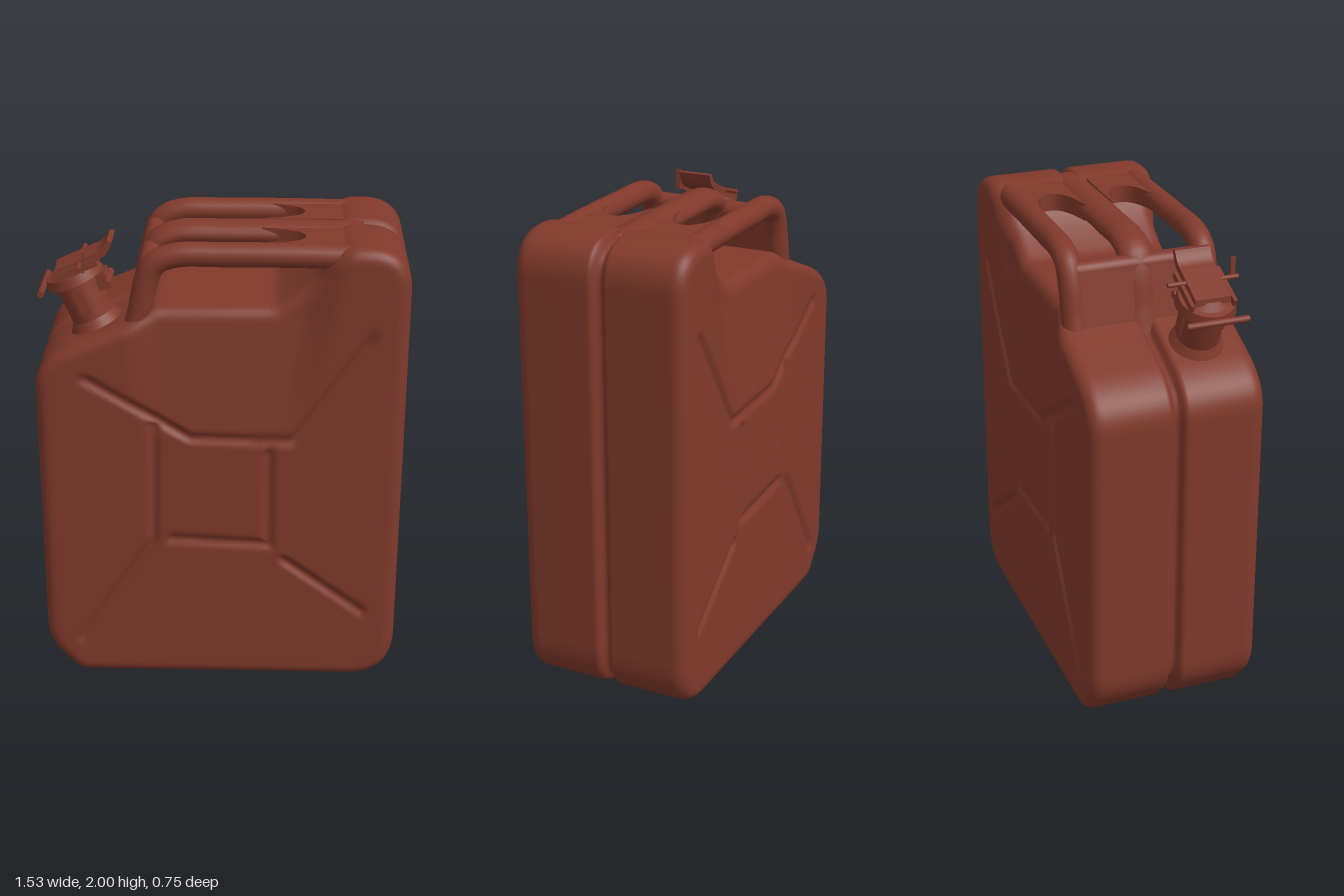
import * as THREE from 'three';
import { RoundedBoxGeometry } from 'three/addons/geometries/RoundedBoxGeometry.js';

const HALF = 0.375;      // half depth of the can
const BEVEL = 0.055;     // edge rounding
const N = 300;           // points around the outline
const ROWS = 60;         // rings on each large face
const CX = 0, CY = 0.9;  // centre of the face rings

// Pressed grooves on both large faces
const GROOVES = [
  [[-0.56, 1.43], [-0.13, 1.17], [0.3, 1.16], [0.61, 1.62]],
  [[-0.61, 0.18], [-0.29, 0.68], [-0.28, 1.22]],
  [[-0.21, 0.69], [0.2, 0.67], [0.2, 1.1]],
  [[0.27, 0.59], [0.61, 0.34]],
];

function segmentDistance(x, y, [ax, ay], [bx, by]) {
  const dx = bx - ax, dy = by - ay;
  const t = THREE.MathUtils.clamp(((x - ax) * dx + (y - ay) * dy) / (dx * dx + dy * dy), 0, 1);
  return Math.hypot(x - ax - t * dx, y - ay - t * dy);
}

// How far the face is pressed in by the grooves
function grooveDepth(x, y) {
  let d = 1;
  for (const line of GROOVES)
    for (let i = 0; i + 1 < line.length; i++) d = Math.min(d, segmentDistance(x, y, line[i], line[i + 1]));
  return 0.016 * (1 - THREE.MathUtils.smoothstep(d, 0, 0.035));
}

// The panel under the handles leans inward toward the top
function leanDepth(x, y) {
  const s = THREE.MathUtils.smoothstep;
  const right = 0.22 + 0.2 * (y - 1.2);
  return 0.045 * THREE.MathUtils.clamp((y - 1.17) / 0.53, 0, 1) * s(x, -0.4, -0.24) * (1 - s(x, right, right + 0.16));
}

function bodyOutline() {
  const s = new THREE.Shape();
  s.moveTo(-0.6, 0);
  s.lineTo(0.55, 0);
  s.quadraticCurveTo(0.76, 0, 0.76, 0.22);
  s.lineTo(0.765, 1.82);
  s.quadraticCurveTo(0.765, 2, 0.58, 2);
  s.lineTo(0.56, 2);
  s.quadraticCurveTo(0.45, 2, 0.4, 1.88);
  s.quadraticCurveTo(0.34, 1.81, 0.22, 1.735);
  s.lineTo(-0.27, 1.73);
  s.lineTo(-0.38, 1.67);
  s.lineTo(-0.62, 1.57);
  s.quadraticCurveTo(-0.77, 1.5, -0.77, 1.38);
  s.lineTo(-0.77, 0.24);
  s.quadraticCurveTo(-0.77, 0.16, -0.72, 0.1);
  s.lineTo(-0.66, 0.03);
  s.quadraticCurveTo(-0.63, 0, -0.6, 0);
  return s.getSpacedPoints(N).slice(0, N);
}

// Body: rings from the front centre, round the edges and seam, to the back centre
function bodyGeometry() {
  const pts = bodyOutline();
  const normals = pts.map((p, i) => {
    const a = pts[(i + N - 1) % N], b = pts[(i + 1) % N];
    return new THREE.Vector2(b.y - a.y, a.x - b.x).normalize();
  });
  const half = [];
  for (let i = 0; i <= ROWS; i++) half.push({ scale: i / ROWS, inset: BEVEL, z: HALF });
  for (let i = 1; i <= 6; i++) {
    const a = (i / 6) * Math.PI / 2;
    half.push({ scale: 1, inset: BEVEL * (1 - Math.sin(a)), z: HALF - BEVEL * (1 - Math.cos(a)) });
  }
  for (const [inset, z] of [[0, 0.31], [0, 0.045], [0.003, 0.032], [0.014, 0.022], [0.032, 0.015], [0.04, 0.006]])
    half.push({ scale: 1, inset, z, seam: true });
  const rings = [...half, ...half.slice().reverse().map(r => ({ ...r, z: -r.z }))];

  const position = [], index = [];
  rings.forEach((r, i) => {
    for (let j = 0; j < N; j++) {
      const p = pts[j];
      const underHandle = p.y > 1.66 && p.x > -0.36 && p.x < 0.5;
      const inset = r.seam && underHandle ? 0 : r.inset;
      const x = CX + (p.x - normals[j].x * inset - CX) * r.scale;
      const y = CY + (p.y - normals[j].y * inset - CY) * r.scale;
      let depth = Math.abs(r.z);
      if (depth > 0.3) depth -= leanDepth(x, y);
      if (Math.abs(r.z) === HALF) depth -= grooveDepth(x, y);
      position.push(x, y, Math.sign(r.z) * depth);
      if (i + 1 < rings.length) {
        const k = (j + 1) % N, a = i * N, b = a + N;
        index.push(a + j, b + j, b + k, a + j, b + k, a + k);
      }
    }
  });
  const g = new THREE.BufferGeometry();
  g.setAttribute('position', new THREE.Float32BufferAttribute(position, 3));
  g.setIndex(index);
  g.computeVertexNormals();
  return g;
}

export function createModel() {
  const model = new THREE.Group();
  model.name = 'fuelCan';
  const paint = new THREE.MeshStandardMaterial({ color: 0x80392b });
  paint.name = 'rust red paint';

  const add = (parent, name, geometry, x = 0, y = 0, z = 0, rz = 0) => {
    const m = new THREE.Mesh(geometry, paint);
    m.name = name;
    m.position.set(x, y, z);
    m.rotation.z = rz;
    parent.add(m);
    return m;
  };

  add(model, 'body', bodyGeometry());

  // Three carrying handles
  const handles = new THREE.Group();
  handles.name = 'handles';
  model.add(handles);
  const path = new THREE.CatmullRomCurve3([[-0.37, 1.58], [-0.335, 1.7], [-0.305, 1.84], [-0.27, 1.91],
    [-0.19, 1.945], [0, 1.95], [0.3, 1.95], [0.58, 1.945]].map(([x, y]) => new THREE.Vector3(x, y, 0)));
  for (const [name, z, width] of [['frontHandle', 0.288, 1.05], ['middleHandle', 0, 1.5], ['backHandle', -0.288, 1.05]]) {
    add(handles, name, new THREE.TubeGeometry(path, 60, 0.05, 20).scale(1, 1, width), 0, 0, z);
  }
  // Wall joining the handle legs
  add(handles, 'handleWall', new RoundedBoxGeometry(0.085, 0.36, 0.6, 4, 0.04), -0.325, 1.745, 0, -0.2);

  // Webs that round off the far end of each grip opening
  const web = new THREE.Shape();
  web.moveTo(0.52, -0.1);
  web.lineTo(0.52, 0.1);
  web.lineTo(0.16, 0.1);
  web.bezierCurveTo(0.28, 0.08, 0.34, 0.05, 0.34, 0);
  web.bezierCurveTo(0.34, -0.05, 0.28, -0.08, 0.16, -0.1);
  web.closePath();
  const webGeometry = new THREE.ExtrudeGeometry(web, { depth: 0.075, bevelEnabled: false, curveSegments: 12 });
  webGeometry.rotateX(Math.PI / 2);
  for (const z of [0.16, -0.16]) add(handles, 'gripWeb', webGeometry, 0, 1.988, z);

  // Tilted spout with its clamped cap
  const spout = new THREE.Group();
  spout.name = 'spout';
  spout.position.set(-0.53, 1.62, 0.165);
  spout.rotation.z = 0.4;
  model.add(spout);
  const disc = (top, bottom, h) => new THREE.CylinderGeometry(top, bottom, h, 32);
  const pin = (r, l) => new THREE.CylinderGeometry(r, r, l, 10).rotateX(Math.PI / 2);
  add(spout, 'neckFoot', disc(0.09, 0.115, 0.04), 0, 0.005, 0);
  add(spout, 'neck', disc(0.09, 0.09, 0.2), 0, 0.08, 0);
  add(spout, 'neckRim', disc(0.1, 0.1, 0.025), 0, 0.175, 0);
  add(spout, 'cap', disc(0.115, 0.125, 0.04), 0, 0.215, 0);
  add(spout, 'capTop', disc(0.07, 0.1, 0.025), 0.01, 0.247, 0);
  add(spout, 'hingeBlock', new THREE.BoxGeometry(0.05, 0.07, 0.1), 0.105, 0.15, 0);
  add(spout, 'hingePin', pin(0.018, 0.16), 0.125, 0.14, 0);
  add(spout, 'latchPin', pin(0.014, 0.26), -0.13, 0.22, 0);
  add(spout, 'leverPin', pin(0.01, 0.3), 0.06, 0.265, 0);
  add(spout, 'pinEnd', new THREE.BoxGeometry(0.01, 0.09, 0.02), 0.09, 0.285, 0.135, -0.4);
  for (const z of [0.09, -0.09]) {
    add(spout, 'clampArm', new THREE.BoxGeometry(0.2, 0.03, 0.015), 0.03, 0.25, z);
    add(spout, 'clampLeg', new THREE.BoxGeometry(0.045, 0.16, 0.015), 0.0, 0.14, z);
  }

  // Curled lever plate
  const lever = new THREE.Shape();
  lever.moveTo(-0.06, 0.25);
  lever.lineTo(0.13, 0.25);
  lever.quadraticCurveTo(0.18, 0.25, 0.22, 0.3);
  lever.lineTo(0.2, 0.31);
  lever.quadraticCurveTo(0.16, 0.275, 0.12, 0.28);
  lever.lineTo(-0.05, 0.275);
  lever.closePath();
  add(spout, 'lever', new THREE.ExtrudeGeometry(lever, { depth: 0.15, bevelEnabled: false }), 0, 0, -0.075);

  return model;
}
